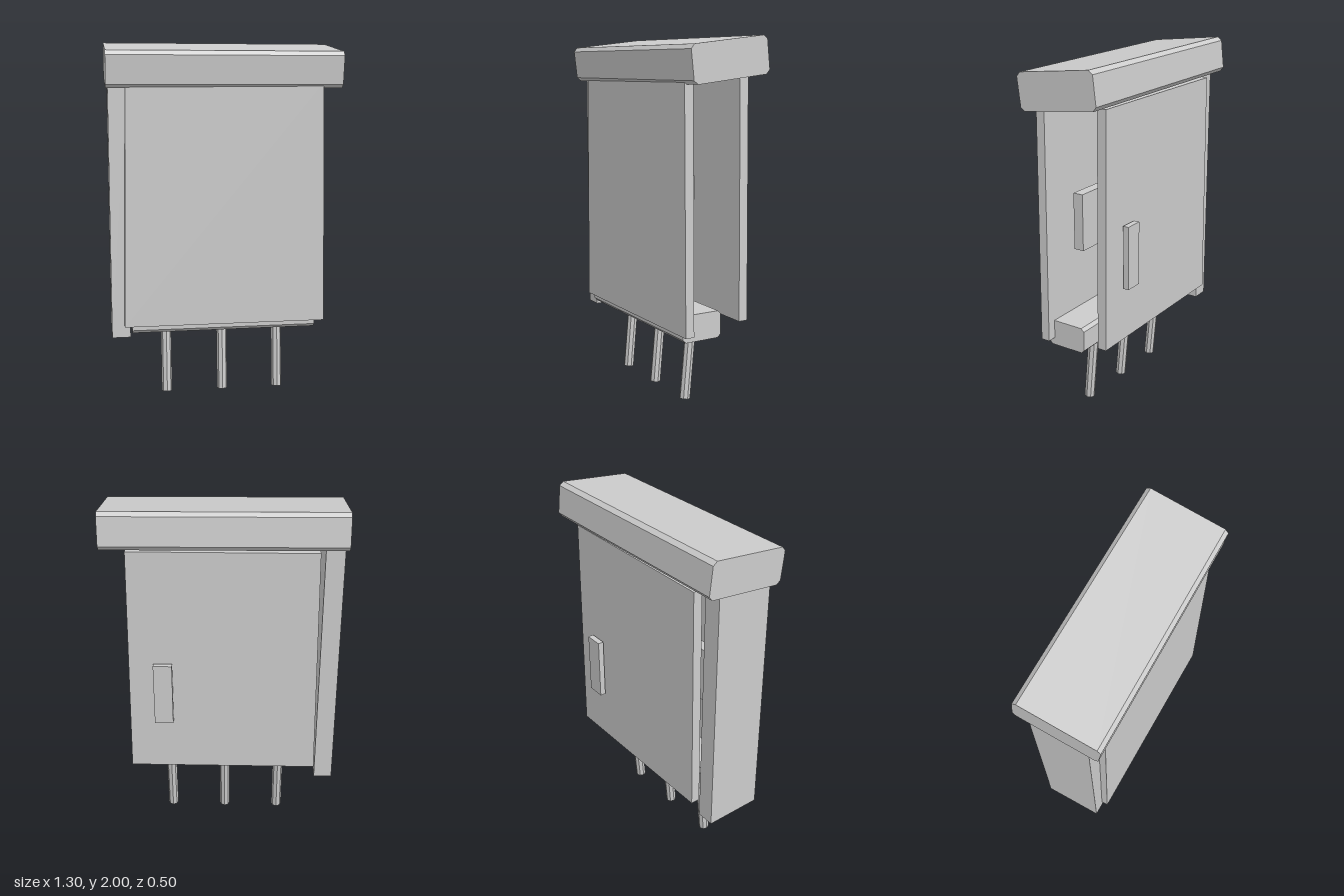
import * as THREE from 'three';

const grey = new THREE.MeshStandardMaterial({ color: 0xcccccc });
grey.name = 'plain grey';

// Adds a named, flat-sided mesh at a position
function add(group, name, geometry, x, y, z) {
  const mesh = new THREE.Mesh(geometry, grey);
  mesh.name = name;
  mesh.position.set(x, y, z);
  group.add(mesh);
  return mesh;
}

// Beam along x whose long edges are chamfered
function beam(length, height, depth, c) {
  const h = height / 2, d = depth / 2;
  const shape = new THREE.Shape([
    [-d + c, -h], [d - c, -h], [d, -h + c], [d, h - c],
    [d - c, h], [-d + c, h], [-d, h - c], [-d, -h + c],
  ].map(([x, y]) => new THREE.Vector2(x, y)));
  return new THREE.ExtrudeGeometry(shape, { depth: length, bevelEnabled: false })
    .translate(0, 0, -length / 2)
    .rotateY(Math.PI / 2);
}

// Upright panel, wider at the bottom than at the top
function taperedPanel(bottomWidth, topWidth, height, thickness) {
  const geometry = new THREE.BoxGeometry(1, height, thickness);
  const p = geometry.attributes.position;
  for (let i = 0; i < p.count; i++) {
    p.setX(i, p.getX(i) * (p.getY(i) < 0 ? bottomWidth : topWidth));
  }
  geometry.computeVertexNormals();
  return geometry;
}

export function createModel() {
  const model = new THREE.Group();
  model.name = 'box on legs';

  // Sloping roof, higher at the back
  const roof = add(model, 'roof', beam(1.3, 0.2, 0.47, 0.022), 0, 1.876, 0.005);
  roof.rotation.set(0.117, 0.007, -0.003);

  // Panels around the hollow body, open on one side
  add(model, 'frontPanel', taperedPanel(1.135, 1.09, 1.35, 0.052), 0, 1.108, 0.187);
  add(model, 'backPanel', taperedPanel(1.06, 1.02, 1.32, 0.053), 0.005, 1.125, -0.178);
  add(model, 'sidePanel', new THREE.BoxGeometry(0.103, 1.43, 0.33), -0.586, 1.08, 0.01);

  // Inner board and back handle
  add(model, 'innerBoard', new THREE.BoxGeometry(0.75, 0.325, 0.06), 0.01, 1.102, 0.077);
  add(model, 'backHandle', new THREE.BoxGeometry(0.104, 0.36, 0.033), 0.335, 0.96, -0.236);

  // Base beam
  add(model, 'baseBeam', beam(1.04, 0.15, 0.24, 0.018), -0.005, 0.465, 0.077);

  // Three slanted legs
  for (const x of [-0.325, 0, 0.325]) {
    const geometry = new THREE.CylinderGeometry(0.03, 0.03, 0.42, 8).toNonIndexed();
    geometry.computeVertexNormals();
    const leg = add(model, 'leg', geometry, x, 0.212, 0.046);
    leg.rotation.x = -0.09;
  }

  return model;
}
